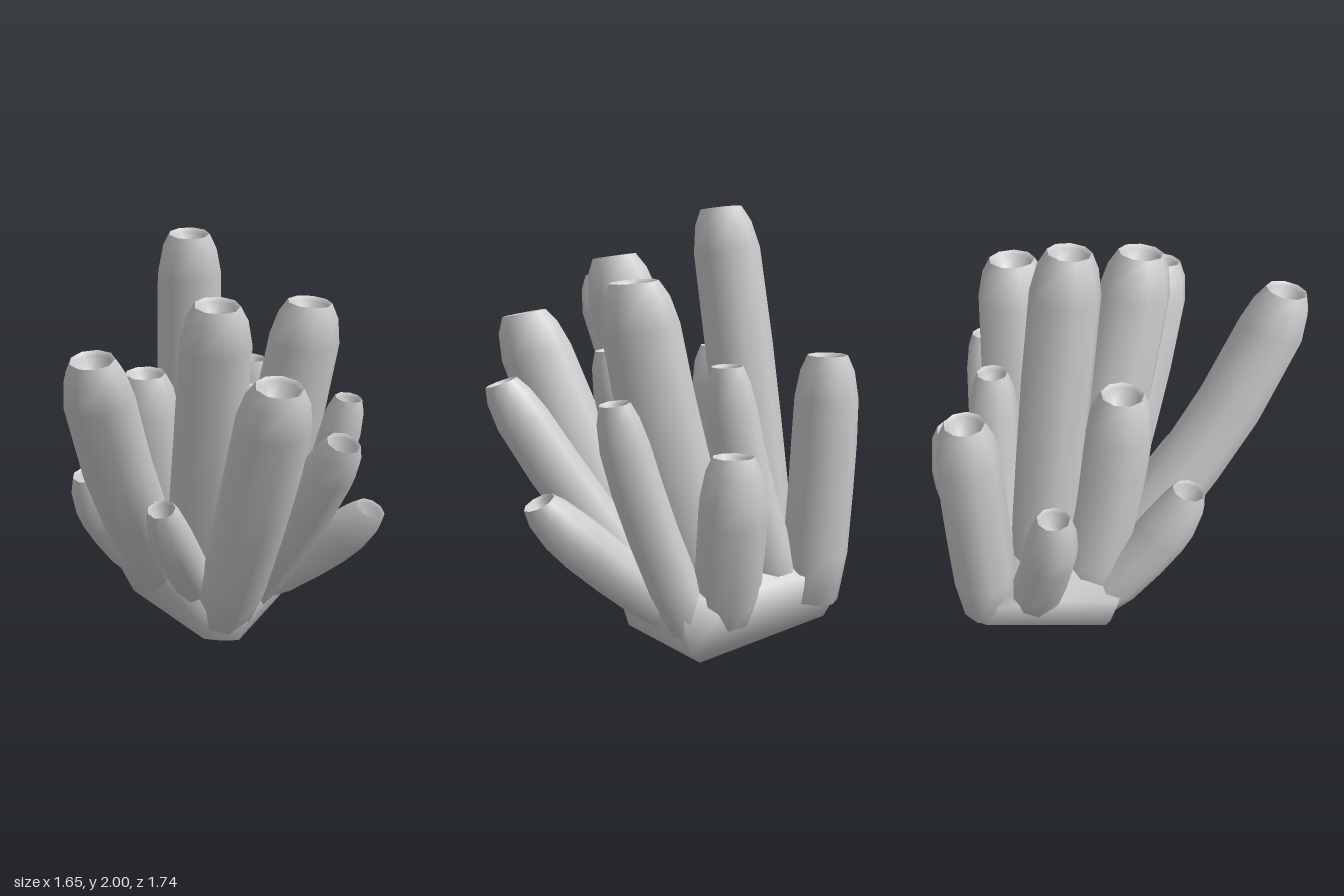
import * as THREE from 'three';
import { ConvexGeometry } from 'three/addons/geometries/ConvexGeometry.js';
import { mergeVertices } from 'three/addons/utils/BufferGeometryUtils.js';

const SIDES = 9;
const material = new THREE.MeshStandardMaterial({ color: 0xcccccc });
const V = (a) => new THREE.Vector3(...a);

// Tubes: base centre, tip centre, radius, outward bow of the path
const TUBES = [
  [[-0.41, 0.24, -0.34], [-0.235, 1.99, -0.17], 0.157, -0.02],
  [[-0.23, 0.24, -0.2], [0.18, 1.77, 0.12], 0.17, 0.08],
  [[-0.12, 0.24, -0.44], [0.25, 1.69, -0.465], 0.175, 0.08],
  [[-0.33, 0.25, -0.08], [0.07, 1.65, 0.765], 0.155, 0.23],
  [[0.04, 0.15, -0.11], [0.59, 1.51, 0.21], 0.172, 0.1],
  [[0.07, 0.2, -0.24], [0.745, 1.23, -0.05], 0.125, 0.07],
  [[0.03, 0.2, -0.39], [0.66, 0.77, -0.435], 0.12, 0.08],
  [[0.04, 0.22, -0.61], [0.38, 1.21, -0.63], 0.11, 0.06],
  [[-0.12, 0.22, -0.57], [-0.1, 0.98, -0.73], 0.15, 0.08],
  [[-0.535, 0.28, -0.57], [-0.575, 1.37, -0.6], 0.145, 0.02],
  [[-0.4, 0.3, -0.56], [-0.14, 1.33, -0.535], 0.115, 0.08],
  [[-0.52, 0.3, -0.37], [-0.75, 1.01, -0.23], 0.12, 0.09],
  [[-0.47, 0.27, -0.08], [-0.42, 0.9, 0.35], 0.125, 0.1],
  [[-0.43, 0.28, -0.12], [-0.32, 1.35, 0.05], 0.16, 0.05],
  [[-0.07, 0.22, -0.08], [0.12, 0.9, 0.425], 0.105, 0.08],
  [[-0.05, 0.25, -0.18], [0.25, 1.36, -0.07], 0.12, 0.06],
];

// Tube skin: rings along a bowed path, tapered lip, then a shallow pit
function tubeGeometry(baseArr, tipArr, radius, bow) {
  const base = V(baseArr), tip = V(tipArr);
  const out = tip.clone().sub(base).setY(0).normalize().multiplyScalar(bow);
  const path = new THREE.QuadraticBezierCurve3(base, base.clone().lerp(tip, 0.6).add(out), tip);
  const length = path.getLength();
  const lip = 1 - 0.19 / length;
  // [position along path, radius factor, sink below the tip]
  const rings = [
    [0, 0, 0], [0, 0.85, 0], [0.2, 1, 0], [0.45, 1, 0], [0.65, 1, 0], [lip, 0.97, 0],
    [1 - 0.07 / length, 0.82, 0], [1, 0.6, 0],
    [1, 0.6, 0], [1, 0.5, 0.015], [1, 0.35, 0.08], [1, 0, 0.09],
  ];
  const positions = [], index = [];
  rings.forEach(([t, factor, sink], k) => {
    const axis = path.getTangentAt(t);
    if (t > lip - 0.01) axis.lerp(new THREE.Vector3(0, 1, 0), 0.3 * t).normalize();
    const u = new THREE.Vector3(1, 0, 0).addScaledVector(axis, -axis.x).normalize();
    const w = u.clone().cross(axis).normalize();
    const centre = path.getPointAt(t).addScaledVector(axis, -sink);
    for (let i = 0; i < SIDES; i++) {
      const a = (i / SIDES) * Math.PI * 2;
      const p = centre.clone()
        .addScaledVector(u, Math.cos(a) * radius * factor)
        .addScaledVector(w, Math.sin(a) * radius * factor);
      positions.push(p.x, p.y, p.z);
      // The lip ring is doubled, so no faces join its two copies
      if (k === 0 || k === 8) continue;
      const j = (i + 1) % SIDES, lo = (k - 1) * SIDES, hi = k * SIDES;
      index.push(lo + i, hi + i, lo + j, lo + j, hi + i, hi + j);
    }
  });
  const g = new THREE.BufferGeometry();
  g.setAttribute('position', new THREE.Float32BufferAttribute(positions, 3));
  g.setIndex(index);
  g.computeVertexNormals();
  return g;
}

// Tilted foot that flares upward into the tubes
function footGeometry() {
  const corners = [
    // underside
    [0.06, 0, -0.06], [0.17, 0.04, -0.07], [0.02, 0.03, 0.02], [0.02, 0.07, -0.67], [0.07, 0.13, -0.72],
    [-0.58, 0.2, -0.62], [-0.66, 0.27, -0.57], [-0.48, 0.12, 0.0], [-0.6, 0.22, -0.02], [0.03, 0.12, 0.05],
    // flared upper edge
    [0.25, 0.28, -0.13], [0.18, 0.34, -0.5], [0.12, 0.36, -0.69], [-0.1, 0.38, -0.725], [-0.58, 0.42, -0.66],
    [-0.66, 0.38, -0.5], [-0.65, 0.42, -0.25], [-0.59, 0.36, 0.04], [-0.3, 0.4, 0.11], [0.1, 0.3, 0.07],
    // crown between the tubes
    [0.05, 0.52, -0.3], [-0.35, 0.62, -0.3], [-0.38, 0.54, 0.1],
  ];
  const g = new ConvexGeometry(corners.map(V));
  g.deleteAttribute('normal');
  g.deleteAttribute('uv');
  const smooth = mergeVertices(g, 1e-4);
  smooth.computeVertexNormals();
  return smooth;
}

export function createModel() {
  const group = new THREE.Group();
  group.name = 'tubeCluster';
  const add = (name, geometry) => {
    const mesh = new THREE.Mesh(geometry, material);
    mesh.name = name;
    group.add(mesh);
  };
  add('foot', footGeometry());
  TUBES.forEach((tube, i) => add(`tube${i + 1}`, tubeGeometry(...tube)));
  return group;
}
